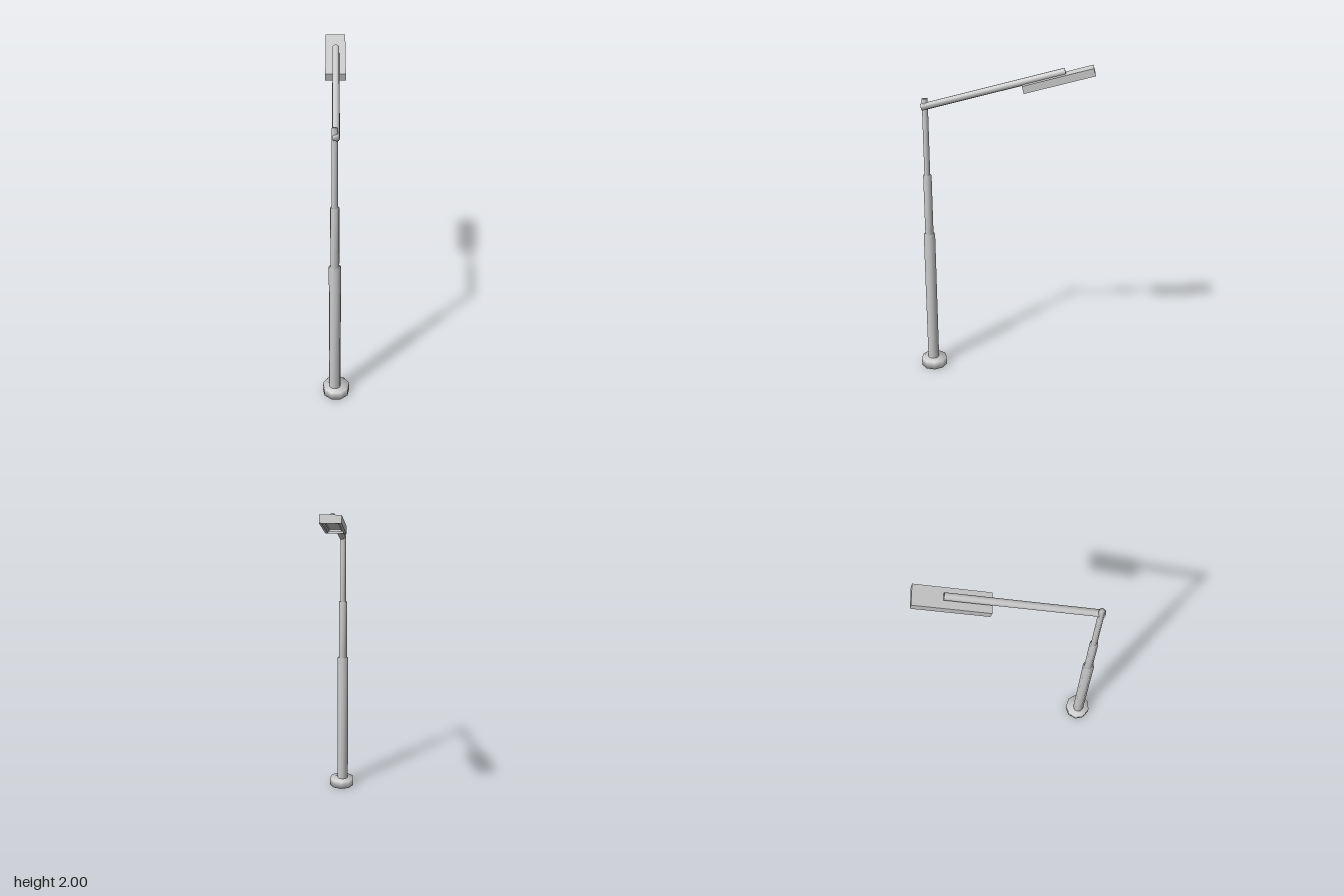
import * as THREE from 'three';
import { mergeVertices } from 'three/addons/utils/BufferGeometryUtils.js';

const TILT = THREE.MathUtils.degToRad(15);
const POLE_X = -0.007, POLE_Z = 0.462;

export function createModel() {
  const model = new THREE.Group();
  model.name = 'streetLamp';
  const grey = new THREE.MeshStandardMaterial({ color: 0xcccccc });

  const add = (parent, name, geometry, x = 0, y = 0, z = 0) => {
    const mesh = new THREE.Mesh(geometry, grey);
    mesh.name = name;
    mesh.position.set(x, y, z);
    parent.add(mesh);
    return mesh;
  };

  // Nine-sided cylinder shaded smoothly across sides and caps
  const softCylinder = (radius, height) => {
    let g = new THREE.CylinderGeometry(radius, radius, height, 9);
    g.rotateY(Math.PI);
    g.deleteAttribute('uv');
    g.deleteAttribute('normal');
    g = mergeVertices(g, 1e-4);
    g.computeVertexNormals();
    return g;
  };

  // Foot
  add(model, 'base', softCylinder(0.083, 0.052), 0, 0.026, 0.457);

  // Telescoping pole: name, radius, bottom, top
  const sections = [
    ['lowerPole', 0.036, 0.04, 0.932],
    ['middlePole', 0.026, 0.92, 1.32],
    ['upperPole', 0.018, 1.31, 1.795],
  ];
  for (const [name, r, y0, y1] of sections) {
    add(model, name, softCylinder(r, y1 - y0), POLE_X, (y0 + y1) / 2, POLE_Z);
  }

  // Arm rising towards the back
  const start = new THREE.Vector3(0, 1.744, 0.482);
  const end = new THREE.Vector3(0, 1.971, -0.362);
  const mid = start.clone().add(end).multiplyScalar(0.5);
  const arm = add(model, 'arm', softCylinder(0.021, start.distanceTo(end)), mid.x, mid.y, mid.z);
  arm.rotation.x = TILT - Math.PI / 2;

  // Lamp head: closed lid with a stepped recess underneath
  const head = new THREE.Group();
  head.name = 'lampHead';
  head.position.set(-0.002, 1.9237, -0.3254);
  head.rotation.x = TILT;
  model.add(head);

  const W = 0.12, L = 0.422, H = 0.045;
  const rectangle = (target, w, l) => {
    target.moveTo(-w / 2, -l / 2);
    target.lineTo(w / 2, -l / 2);
    target.lineTo(w / 2, l / 2);
    target.lineTo(-w / 2, l / 2);
    target.closePath();
    return target;
  };
  // Rectangular frame with its underside at y = 0
  const frame = (inset, height) => {
    const shape = rectangle(new THREE.Shape(), W, L);
    shape.holes.push(rectangle(new THREE.Path(), W - 2 * inset, L - 2 * inset));
    const g = new THREE.ExtrudeGeometry(shape, { depth: height, bevelEnabled: false });
    return g.rotateX(-Math.PI / 2);
  };
  const step = 0.01;
  add(head, 'headRim', frame(0.014, step), 0, -H / 2, 0);
  add(head, 'headStep', frame(0.026, step), 0, -H / 2 + step, 0);
  add(head, 'headLid', new THREE.BoxGeometry(W, H - 2 * step, L), 0, step, 0);

  return model;
}
